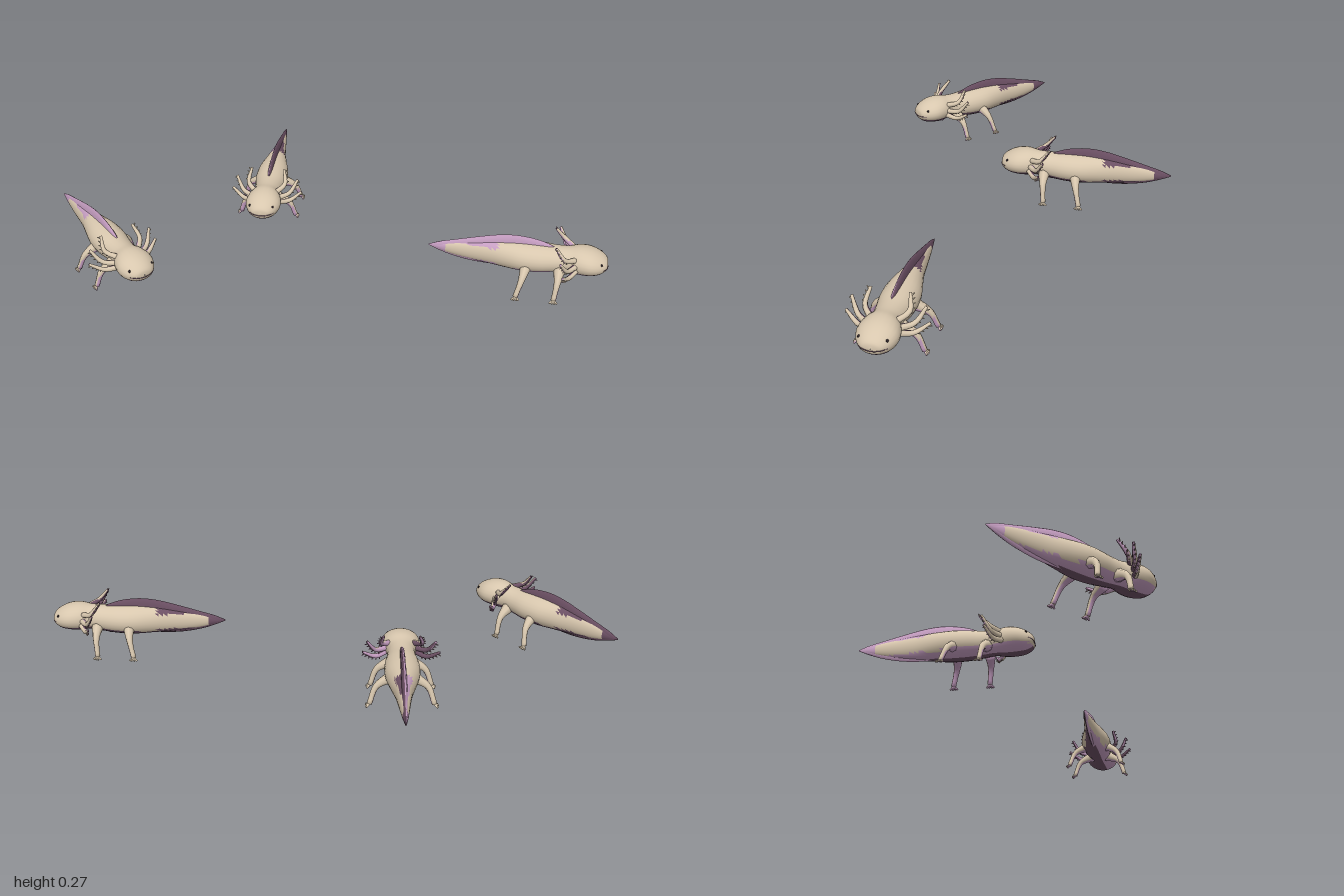
import * as THREE from 'three';

const mat = (name, color) => Object.assign(new THREE.MeshStandardMaterial({ color }), { name });

export function createModel() {
  const cream = mat('cream skin', 0xd8c7ae);
  const pink = mat('pink skin', 0xc79fc3);
  const plum = mat('plum skin', 0x6c5064);
  const dark = mat('dark eye', 0x2a2024);
  const skins = [cream, pink, plum];

  // Smooth closed skin over a row of rings with equal point counts
  function loft(rings) {
    const n = rings[0].length, index = [];
    for (let i = 0; i < rings.length - 1; i++) {
      for (let j = 0; j < n; j++) {
        const a = i * n + j, b = i * n + (j + 1) % n;
        index.push(a, a + n, b, b, a + n, b + n);
      }
    }
    const geo = new THREE.BufferGeometry().setFromPoints(rings.flat());
    geo.setIndex(index);
    geo.computeVertexNormals();
    return geo;
  }

  // Sorts faces into skin colours; rule(centre, normal) returns an index into skins
  function paint(geo, rule) {
    const idx = geo.index.array, pos = geo.attributes.position, lists = [[], [], []];
    const t = new THREE.Triangle(), c = new THREE.Vector3(), nrm = new THREE.Vector3();
    for (let i = 0; i < idx.length; i += 3) {
      t.setFromAttributeAndIndices(pos, idx[i], idx[i + 1], idx[i + 2]);
      t.getMidpoint(c);
      t.getNormal(nrm);
      lists[rule(c, nrm)].push(idx[i], idx[i + 1], idx[i + 2]);
    }
    geo.setIndex(lists.flat());
    let start = 0;
    lists.forEach((l, m) => {
      if (l.length) geo.addGroup(start, l.length, m);
      start += l.length;
    });
    return geo;
  }

  const ellipseRing = (z, w, top, bottom, n) => Array.from({ length: n }, (_, j) => {
    const a = (j / n) * Math.PI * 2;
    return new THREE.Vector3(w * Math.cos(a), (top + bottom) / 2 + (top - bottom) / 2 * Math.sin(a), z);
  });

  // Interpolates rows of [z, halfWidth, top, bottom] into a smooth row of rings
  function profile(rows, steps, n) {
    const yz = new THREE.CatmullRomCurve3(rows.map(r => new THREE.Vector3(r[2], r[3], r[0])));
    const w = new THREE.CatmullRomCurve3(rows.map(r => new THREE.Vector3(r[1], 0, r[0])));
    return Array.from({ length: steps + 1 }, (_, i) => {
      const p = yz.getPoint(i / steps);
      return ellipseRing(p.z, Math.max(0.0005, w.getPoint(i / steps).x), p.x, p.y, n);
    });
  }

  // Tapered limb along a curve through points, with radii from start to end
  function limb(points, radii, n = 8, steps = 10) {
    const curve = new THREE.CatmullRomCurve3(points.map(p => new THREE.Vector3(...p)));
    const rings = [];
    for (let i = 0; i <= steps; i++) {
      const t = i / steps, k = Math.min(radii.length - 2, Math.floor(t * (radii.length - 1)));
      const r = THREE.MathUtils.lerp(radii[k], radii[k + 1], t * (radii.length - 1) - k);
      const c = curve.getPoint(t), d = curve.getTangent(t);
      const u = new THREE.Vector3(0, 0, 1).cross(d).normalize(), v = u.clone().cross(d);
      const ring = s => Array.from({ length: n }, (_, j) => {
        const a = (j / n) * Math.PI * 2;
        return c.clone().addScaledVector(u, s * Math.cos(a)).addScaledVector(v, s * Math.sin(a));
      });
      if (i === 0) rings.push(ring(0.0001));
      rings.push(ring(r));
      if (i === steps) rings.push(ring(0.0001));
    }
    return loft(rings);
  }

  const shade = n => (n.x < -0.15 ? 1 : 2);

  const bodyGeo = paint(loft(profile([
    [0, 0.001, 0.156, 0.15], [-0.006, 0.04, 0.178, 0.128], [-0.035, 0.068, 0.202, 0.106],
    [-0.08, 0.085, 0.22, 0.097], [-0.13, 0.08, 0.225, 0.095], [-0.18, 0.062, 0.217, 0.098],
    [-0.24, 0.066, 0.215, 0.09], [-0.31, 0.077, 0.22, 0.082], [-0.39, 0.076, 0.222, 0.08],
    [-0.47, 0.058, 0.218, 0.085], [-0.55, 0.038, 0.21, 0.092], [-0.65, 0.024, 0.195, 0.105],
    [-0.74, 0.013, 0.178, 0.125], [-0.82, 0.001, 0.156, 0.152],
  ], 52, 24)), (c, n) => {
    const fin = c.z < -0.74 || (c.z < -0.5 && Math.abs(c.y - 0.152) > 0.036);
    return fin || n.y < -0.6 ? shade(n) : 0;
  });

  // Thin fin running over the back and round the tail
  const finGeo = paint(loft(profile([
    [-0.23, 0.001, 0.206, 0.2], [-0.27, 0.009, 0.226, 0.18], [-0.33, 0.013, 0.246, 0.13],
    [-0.42, 0.014, 0.257, 0.09], [-0.5, 0.015, 0.25, 0.083], [-0.6, 0.015, 0.226, 0.087],
    [-0.7, 0.012, 0.198, 0.106], [-0.77, 0.008, 0.178, 0.13], [-0.82, 0.001, 0.157, 0.152],
  ], 36, 16)), (c, n) => (n.x < 0 ? 1 : 2));

  // Legs with four toes each, inner and lower faces pink
  function leg(side, root, knee, foot) {
    const g = new THREE.Group();
    const rule = (c, n) => (-0.6 * side * n.x - 0.5 * n.y + 0.5 * n.z > 0.2 ? 1 : 0);
    const flip = p => [p[0] * side, p[1], p[2]];
    const geo = limb([root, knee, foot].map(flip), [0.03, 0.021, 0.015, 0.012, 0.012]);
    g.add(new THREE.Mesh(paint(geo, rule), skins));
    for (let i = 0; i < 4; i++) {
      const a = (i - 1.5) * 0.5;
      const tip = [foot[0] + 0.018 * Math.cos(a), 0.004, foot[2] + 0.026 * Math.sin(a)];
      const toe = limb([foot, tip].map(flip), [0.007, 0.004], 6, 2);
      g.add(new THREE.Mesh(paint(toe, rule), skins));
    }
    return g;
  }

  // Curved gill stalk with a fringe of short filaments
  function gill(side, root, mid, tip) {
    const g = new THREE.Group();
    const rule = (c, n) => (n.z < -0.25 ? shade(n) : 0);
    const pts = [root, mid, tip].map(p => [p[0] * side, p[1], p[2]]);
    g.add(new THREE.Mesh(paint(limb(pts, [0.014, 0.012, 0.01, 0.006]), rule), skins));
    const curve = new THREE.CatmullRomCurve3(pts.map(p => new THREE.Vector3(...p)));
    for (let i = 0; i < 6; i++) {
      const t = 0.3 + i * 0.12, p = curve.getPoint(t), d = curve.getTangent(t);
      const out = new THREE.Vector3(d.y * side, -d.x * side, -0.3).normalize();
      const end = p.clone().addScaledVector(out, 0.017).addScaledVector(d, 0.008);
      const filament = limb([p.toArray(), end.toArray()], [0.005, 0.002], 5, 1);
      g.add(new THREE.Mesh(paint(filament, rule), skins));
    }
    return g;
  }

  function axolotl() {
    const g = new THREE.Group();
    const add = (name, obj) => { obj.name = name; g.add(obj); };
    add('body', new THREE.Mesh(bodyGeo, skins));
    add('tailFin', new THREE.Mesh(finGeo, skins));
    for (const s of [1, -1]) {
      const label = s > 0 ? 'left' : 'right';
      add(label + 'FrontLeg', leg(s, [0.045, 0.125, -0.215], [0.108, 0.09, -0.22], [0.138, 0.014, -0.228]));
      add(label + 'RearLeg', leg(s, [0.045, 0.13, -0.365], [0.112, 0.09, -0.38], [0.142, 0.014, -0.4]));
      add(label + 'LowerGill', gill(s, [0.06, 0.14, -0.14], [0.115, 0.13, -0.175], [0.172, 0.165, -0.205]));
      add(label + 'MiddleGill', gill(s, [0.06, 0.16, -0.145], [0.115, 0.168, -0.185], [0.152, 0.225, -0.222]));
      add(label + 'UpperGill', gill(s, [0.05, 0.185, -0.15], [0.09, 0.208, -0.2], [0.08, 0.262, -0.245]));
      const eye = new THREE.Mesh(new THREE.SphereGeometry(0.006, 10, 8), dark);
      eye.position.set(0.056 * s, 0.178, -0.034);
      add(label + 'Eye', eye);
    }
    // Mouth line following the snout
    const mouth = new THREE.CatmullRomCurve3([-0.06, -0.04, 0, 0.04, 0.06].map(x =>
      new THREE.Vector3(x, 0.143 + Math.abs(x) * 0.12, Math.abs(x) > 0.05 ? -0.025 : -Math.abs(x) * 0.16)));
    add('mouth', new THREE.Mesh(new THREE.TubeGeometry(mouth, 20, 0.002, 5), plum));
    return g;
  }

  // Three animals: [x of snout, z of snout, heading in degrees]
  const model = new THREE.Group();
  model.name = 'axolotls';
  [[-0.795, -0.18, 0], [-0.107, -0.277, -44], [0.954, 0.985, 43.5]].forEach(([x, z, deg], i) => {
    const a = axolotl();
    a.name = 'axolotl' + (i + 1);
    a.position.set(x, 0, z);
    a.rotation.y = THREE.MathUtils.degToRad(deg);
    model.add(a);
  });
  return model;
}
